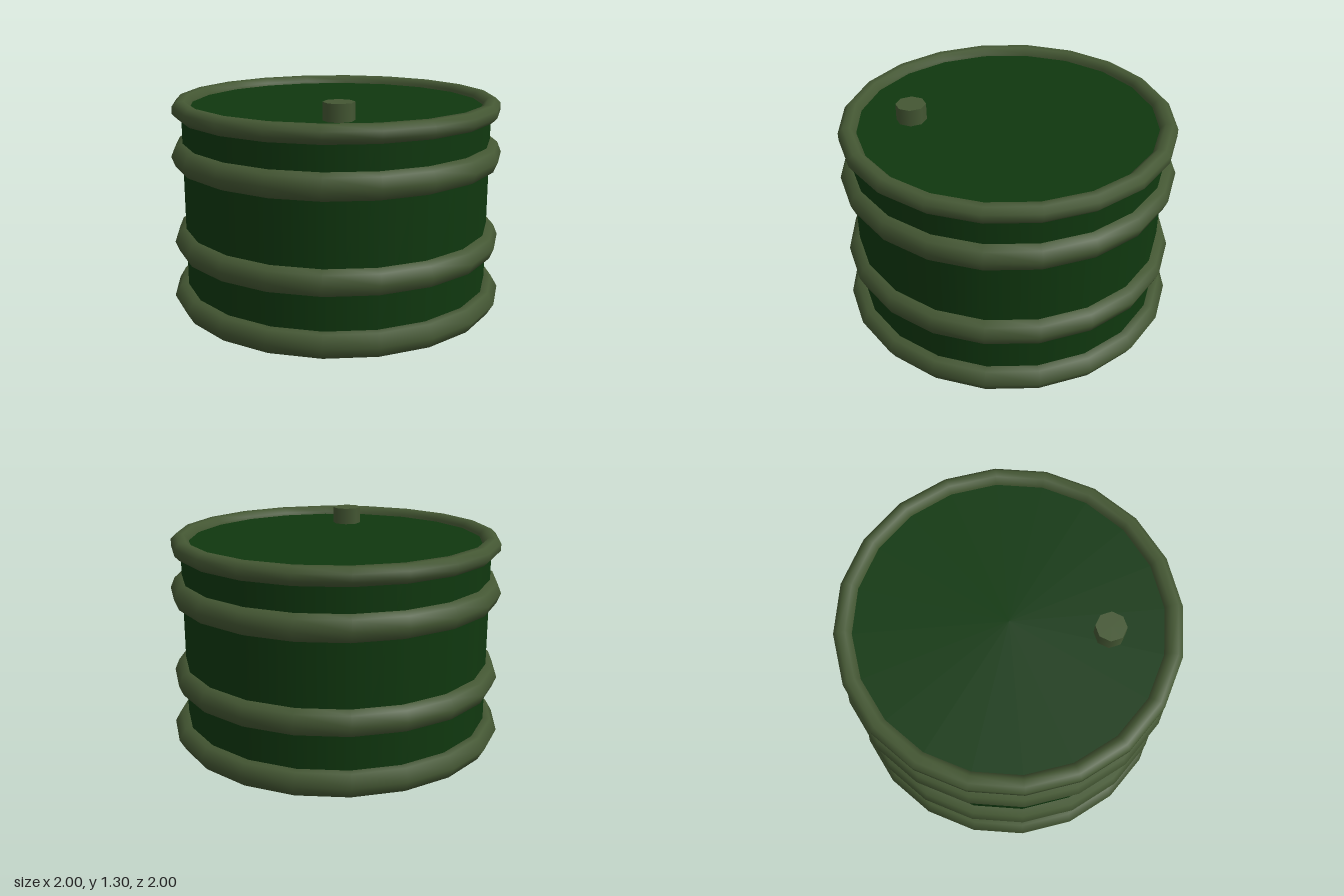
import * as THREE from 'three';

const SIDES = 20;

export function createModel() {
  const model = new THREE.Group();
  const green = new THREE.MeshStandardMaterial({ color: 0x10380f });
  const olive = new THREE.MeshStandardMaterial({ color: 0x445733 });

  function add(name, geometry, material, x, y, z) {
    const mesh = new THREE.Mesh(geometry, material);
    mesh.name = name;
    mesh.position.set(x, y, z);
    model.add(mesh);
  }

  // Hoop with a polygonal cross-section; the profile seam sits on the inner side
  function hoop(name, y, radius, tube, corners, turn = 0) {
    const profile = [];
    for (let i = 0; i <= corners; i++) {
      const a = Math.PI + turn + (i / corners) * Math.PI * 2;
      profile.push(new THREE.Vector2(radius + tube * Math.cos(a), tube * Math.sin(a)));
    }
    add(name, new THREE.LatheGeometry(profile, SIDES), olive, 0, y, 0);
  }

  // Drum body, its lid and base recessed inside the end rims
  const bottom = 0.06, top = 1.2;
  add('body', new THREE.CylinderGeometry(0.917, 0.917, top - bottom, SIDES), green,
    0, (top + bottom) / 2, 0);

  // End rims and rolling hoops
  hoop('bottomRim', 0.0675, 0.922, 0.078, 6);
  hoop('lowerHoop', 0.407, 0.902, 0.083, 8);
  hoop('upperHoop', 0.923, 0.902, 0.083, 8);
  hoop('topRim', 1.195, 0.92, 0.0541, 8, Math.PI / 8);

  // Filler cap on the lid
  add('fillerCap', new THREE.CylinderGeometry(0.088, 0.088, 0.12, 8), olive, 0.372, 1.24, 0.416);

  return model;
}
